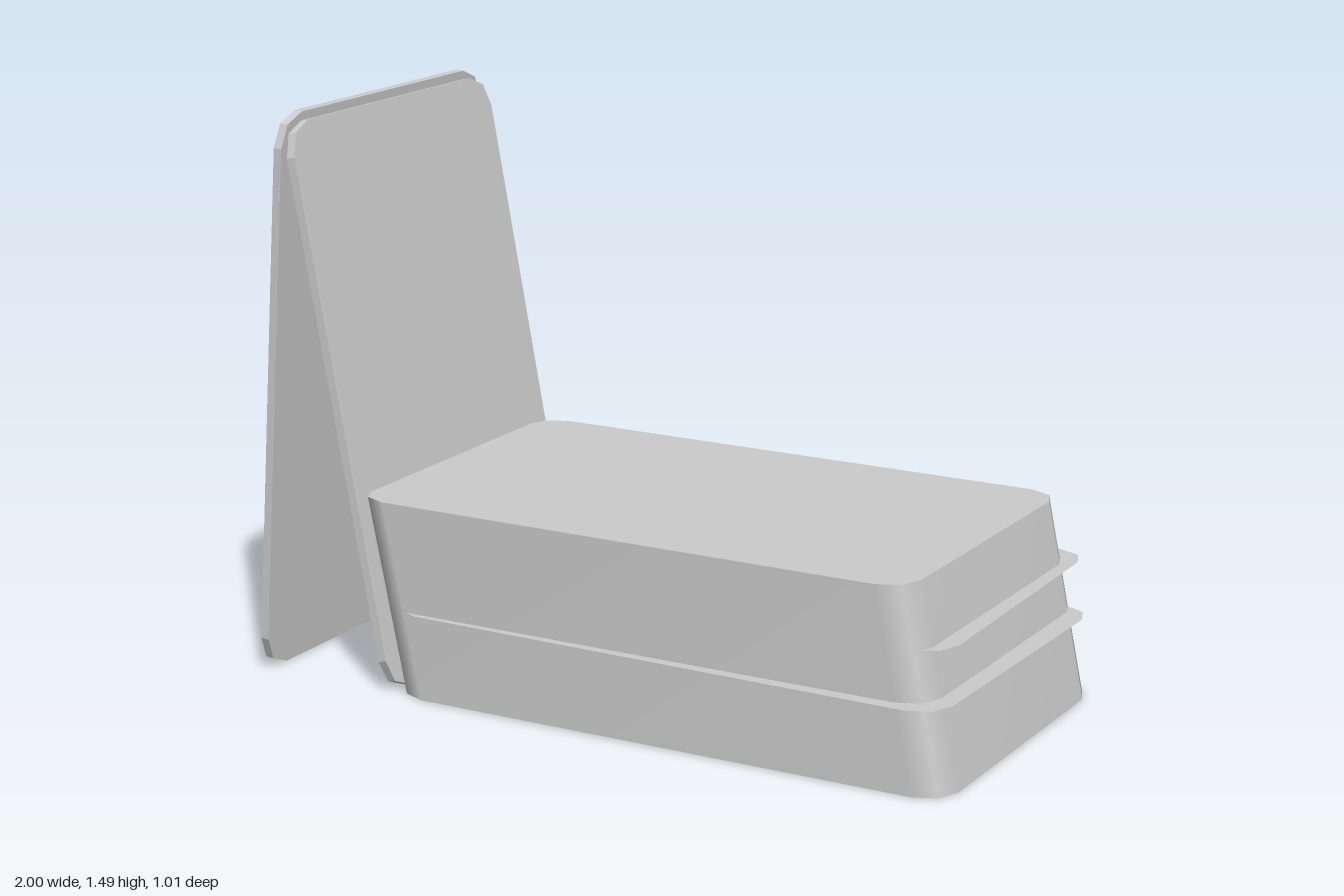
import * as THREE from 'three';

// Outline of a rounded rectangle with two-segment corners, counter-clockwise
function roundedOutline(w, h, r) {
  const pts = [];
  [[1, 1], [-1, 1], [-1, -1], [1, -1]].forEach(([sx, sy], q) => {
    for (let i = 0; i <= 2; i++) {
      const a = (q + i / 2) * Math.PI / 2;
      pts.push(new THREE.Vector2(
        sx * (w / 2 - r) + r * Math.cos(a),
        sy * (h / 2 - r) + r * Math.sin(a)));
    }
  });
  return pts;
}

export function createModel() {
  const model = new THREE.Group();
  const grey = new THREE.MeshStandardMaterial({ color: 0xcccccc, side: THREE.DoubleSide });
  grey.name = 'grey';

  const add = (name, geometry) => {
    const mesh = new THREE.Mesh(geometry, grey);
    mesh.name = name;
    model.add(mesh);
    return mesh;
  };

  // Two thin panels leaning together
  const panelLength = 1.49, thickness = 0.023;
  const panel = (name, x, lean) => {
    const geo = new THREE.ExtrudeGeometry(
      new THREE.Shape(roundedOutline(0.925, panelLength, 0.085)),
      { depth: thickness, bevelEnabled: false });
    geo.translate(0, panelLength / 2, -thickness / 2);
    geo.rotateY(Math.PI / 2);
    const mesh = add(name, geo);
    mesh.position.set(x, 0.001, 0);
    mesh.rotation.z = lean;
  };
  panel('outerPanel', -0.988, -0.067);
  panel('innerPanel', -0.594, 0.186);

  // Slanted tray, open underneath
  const length = 1.565, width = 0.925, height = 0.515, baseX = 0.206, shift = -0.108;
  const outline = roundedOutline(length, width, 0.085);
  const n = outline.length, positions = [], indices = [];
  for (const level of [0, 1]) {
    for (const p of outline) positions.push(baseX + p.x + shift * level, height * level, -p.y);
  }
  for (let i = 0; i < n; i++) {
    const j = (i + 1) % n;
    indices.push(i, j, n + j, i, n + j, n + i);
  }
  const walls = new THREE.BufferGeometry();
  walls.setAttribute('position', new THREE.Float32BufferAttribute(positions, 3));
  walls.setIndex(indices);
  walls.computeVertexNormals();
  add('trayWalls', walls);

  // Flat sheets: the tray top and two slightly twisted shelves
  const sheet = (name, x, y, z, twist) => {
    const geo = new THREE.ShapeGeometry(new THREE.Shape(outline));
    geo.rotateX(-Math.PI / 2);
    const mesh = add(name, geo);
    mesh.position.set(x, y, z);
    mesh.rotation.y = twist;
  };
  sheet('trayTop', baseX + shift, height, 0, 0);
  sheet('upperShelf', 0.173, 0.353, -0.028, 0.019);
  sheet('lowerShelf', 0.21, 0.23, 0.028, -0.017);

  return model;
}
